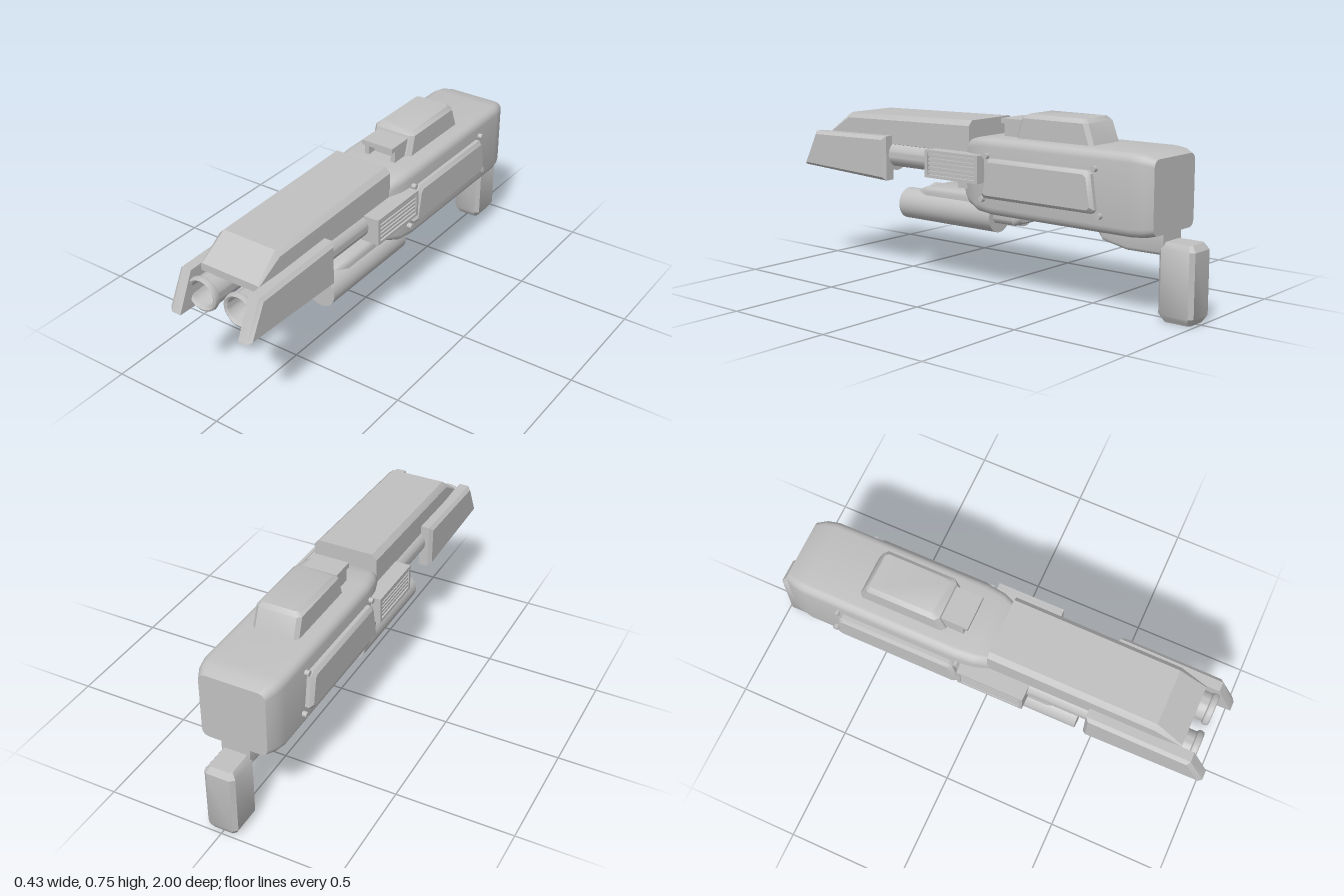
import * as THREE from 'three';
import { toCreasedNormals } from 'three/addons/utils/BufferGeometryUtils.js';

const CREASE = 0.6;

// Skins a list of equal-length rings ({z, pts}), ordered front to back, and caps both ends.
function loft(rings) {
  const pos = [];
  const put = (r, i) => pos.push(r.pts[i][0], r.pts[i][1], r.z);
  const n = rings[0].pts.length;
  for (let k = 0; k < rings.length - 1; k++) {
    const a = rings[k], b = rings[k + 1];
    for (let i = 0; i < n; i++) {
      const j = (i + 1) % n;
      put(a, i); put(b, i); put(b, j);
      put(a, i); put(b, j); put(a, j);
    }
  }
  const first = rings[0], last = rings[rings.length - 1];
  for (let i = 1; i < n - 1; i++) {
    put(first, 0); put(first, i); put(first, i + 1);
    put(last, 0); put(last, i + 1); put(last, i);
  }
  const g = new THREE.BufferGeometry();
  g.setAttribute('position', new THREE.Float32BufferAttribute(pos, 3));
  return toCreasedNormals(g, CREASE);
}

// Rectangle ring with rounded (n > 1) or chamfered (n = 1) corners; c is the top radius, cb the bottom one.
function ring(z, w, y0, y1, c, n = 1, cb = c) {
  const pts = [];
  const corners = [[w - cb, y0 + cb, cb, -1], [w - c, y1 - c, c, 0], [c - w, y1 - c, c, 1], [cb - w, y0 + cb, cb, 2]];
  for (const [x, y, r, q] of corners)
    for (let i = 0; i <= n; i++) {
      const a = (q + i / n) * Math.PI / 2;
      pts.push([x + r * Math.cos(a), y + r * Math.sin(a)]);
    }
  return { z, pts };
}

// Plate on the +x side from a (z, y) outline, with a bevelled outer face.
function sidePlate(outline, x0, x1, bevel) {
  const pts = outline.map(([z, y]) => [-z, y]);
  const box = new THREE.Box2().setFromPoints(pts.map(p => new THREE.Vector2(...p)));
  const c = box.getCenter(new THREE.Vector2()), s = box.getSize(new THREE.Vector2());
  const inner = pts.map(([x, y]) => [
    c.x + (x - c.x) * (1 - 2 * bevel / s.x),
    c.y + (y - c.y) * (1 - 2 * bevel / s.y)]);
  return loft([{ z: x1, pts: inner }, { z: x1 - bevel, pts }, { z: x0, pts }]).rotateY(Math.PI / 2);
}

// Box given by its limits.
function box(x0, x1, y0, y1, z0, z1) {
  return new THREE.BoxGeometry(x1 - x0, y1 - y0, z1 - z0)
    .translate((x0 + x1) / 2, (y0 + y1) / 2, (z0 + z1) / 2);
}

// Turned part along z from (radius, z) points.
function turned(profile, x, y, segments = 40) {
  const g = new THREE.LatheGeometry(profile.map(p => new THREE.Vector2(...p)), segments);
  return toCreasedNormals(g.rotateX(Math.PI / 2), CREASE).translate(x, y, 0);
}

function mirrored(geo) {
  const g = geo.clone().scale(-1, 1, 1);
  const id = g.index ? Array.from(g.index.array) : Array.from({ length: g.attributes.position.count }, (_, i) => i);
  for (let i = 0; i < id.length; i += 3) [id[i + 1], id[i + 2]] = [id[i + 2], id[i + 1]];
  return g.setIndex(id);
}

export function createModel() {
  const model = new THREE.Group();
  const grey = new THREE.MeshStandardMaterial({ color: 0xc0c0c0 });
  grey.name = 'grey';
  const add = (name, geo) => {
    const m = new THREE.Mesh(geo, grey);
    m.name = name;
    model.add(m);
  };
  const pair = (name, geo) => {
    add(name + 'Left', geo);
    add(name + 'Right', mirrored(geo));
  };

  // Main housing, rounded and drawn in at both ends
  add('body', loft([
    ring(0.07, 0.125, 0.385, 0.62, 0.03, 4),
    ring(0.04, 0.145, 0.36, 0.633, 0.035, 4),
    ring(-0.02, 0.166, 0.34, 0.648, 0.035, 4),
    ring(-0.1, 0.174, 0.333, 0.652, 0.035, 4),
    ring(-0.78, 0.172, 0.33, 0.652, 0.035, 4),
    ring(-0.83, 0.162, 0.333, 0.647, 0.035, 4),
    ring(-0.87, 0.142, 0.342, 0.632, 0.03, 4),
  ]));

  // Long cover above the barrels, with a sloped nose
  add('topCover', loft([
    ring(0.87, 0.137, 0.575, 0.607, 0.006, 1, 0.001),
    ring(0.75, 0.143, 0.575, 0.695, 0.022, 1, 0.001),
    ring(0.035, 0.143, 0.575, 0.71, 0.022, 1, 0.001),
  ]));

  // Slanted fins either side of the muzzles
  pair('sideFin', sidePlate([[1.0, 0.443], [0.48, 0.418], [0.48, 0.612], [0.925, 0.602]], 0.138, 0.195, 0.015));

  // Barrels and hollow muzzles with a thick lip
  pair('barrel', turned([[0, -0.05], [0.055, -0.05], [0.055, 0.55], [0, 0.55]], 0.11, 0.53));
  pair('muzzle', turned([
    [0, 0.5], [0.062, 0.5], [0.062, 0.905], [0.07, 0.91], [0.073, 0.92], [0.07, 0.932],
    [0.063, 0.936], [0.055, 0.93], [0.052, 0.92], [0.05, 0.8], [0.035, 0.77], [0, 0.755],
  ], 0.089, 0.515));

  // Vent boxes with a raised frame and slats
  pair('ventBox', box(0.1, 0.2, 0.465, 0.58, -0.07, 0.22));
  for (const y of [0.465, 0.57]) pair('ventFrame', box(0.2, 0.214, y, y + 0.012, -0.07, 0.22));
  for (const z of [-0.07, 0.205]) pair('ventPost', box(0.2, 0.214, 0.465, 0.582, z, z + 0.015));
  for (let i = 0; i < 5; i++) pair('ventSlat', box(0.2, 0.21, 0.483 + i * 0.018, 0.493 + i * 0.018, -0.06, 0.21));
  pair('ventBracket', box(0.1, 0.14, 0.425, 0.48, -0.02, 0.1));

  // Bevelled side panels and their screws
  pair('sidePanel', sidePlate([
    [-0.075, 0.42], [-0.085, 0.408], [-0.62, 0.408], [-0.635, 0.422],
    [-0.615, 0.56], [-0.6, 0.572], [-0.115, 0.572], [-0.1, 0.56],
  ], 0.15, 0.204, 0.014));
  for (const [z, y] of [[-0.09, 0.58], [-0.625, 0.58], [-0.65, 0.4], [-0.065, 0.4]])
    pair('screw', new THREE.CylinderGeometry(0.012, 0.012, 0.06, 16).rotateZ(Math.PI / 2).translate(0.161, y, z));

  // Twin tubes below and the block that carries them
  pair('lowerTube', turned([[0, -0.08], [0.067, -0.08], [0.067, 0.435], [0, 0.435]], 0.083, 0.315, 32));
  add('tubeCarrier', loft([
    ring(0.36, 0.105, 0.32, 0.385, 0.015, 3),
    ring(0.3, 0.125, 0.295, 0.405, 0.025, 3),
    ring(0.05, 0.125, 0.29, 0.41, 0.025, 3),
    ring(-0.18, 0.125, 0.29, 0.4, 0.025, 3),
    ring(-0.21, 0.105, 0.305, 0.39, 0.02, 3),
  ]));

  // Rear underside block leading to the grip
  add('gripMount', loft([
    ring(-0.55, 0.05, 0.315, 0.36, 0.01, 3),
    ring(-0.585, 0.065, 0.28, 0.36, 0.015, 3),
    ring(-0.7, 0.067, 0.257, 0.36, 0.015, 3),
    ring(-0.865, 0.062, 0.257, 0.36, 0.015, 3),
  ]));

  // Upright grip with chamfered ends, skinned along its height
  add('grip', loft([
    ring(0.31, 0.05, 0.86, 0.98, 0.01),
    ring(0.285, 0.067, 0.842, 0.998, 0.016),
    ring(0.03, 0.067, 0.842, 0.998, 0.016),
    ring(0.012, 0.056, 0.852, 0.988, 0.014),
    ring(0, 0.05, 0.86, 0.98, 0.012),
  ]).rotateX(-Math.PI / 2));

  // Raised sight housing with sloped ends
  add('sightHousing', loft([
    ring(0.752, 0.08, 0.225, 0.51, 0.012),
    ring(0.735, 0.098, 0.2, 0.525, 0.016),
    ring(0.64, 0.1, 0.17, 0.56, 0.016),
  ]).rotateX(-Math.PI / 2));

  // Small bridge in front of the sight
  add('bridgePlate', box(-0.075, 0.075, 0.703, 0.724, -0.22, -0.08));
  pair('bridgeLeg', box(0.055, 0.075, 0.64, 0.703, -0.22, -0.1));
  add('bridgeBack', box(-0.06, 0.06, 0.64, 0.705, -0.22, -0.14));

  return model;
}
